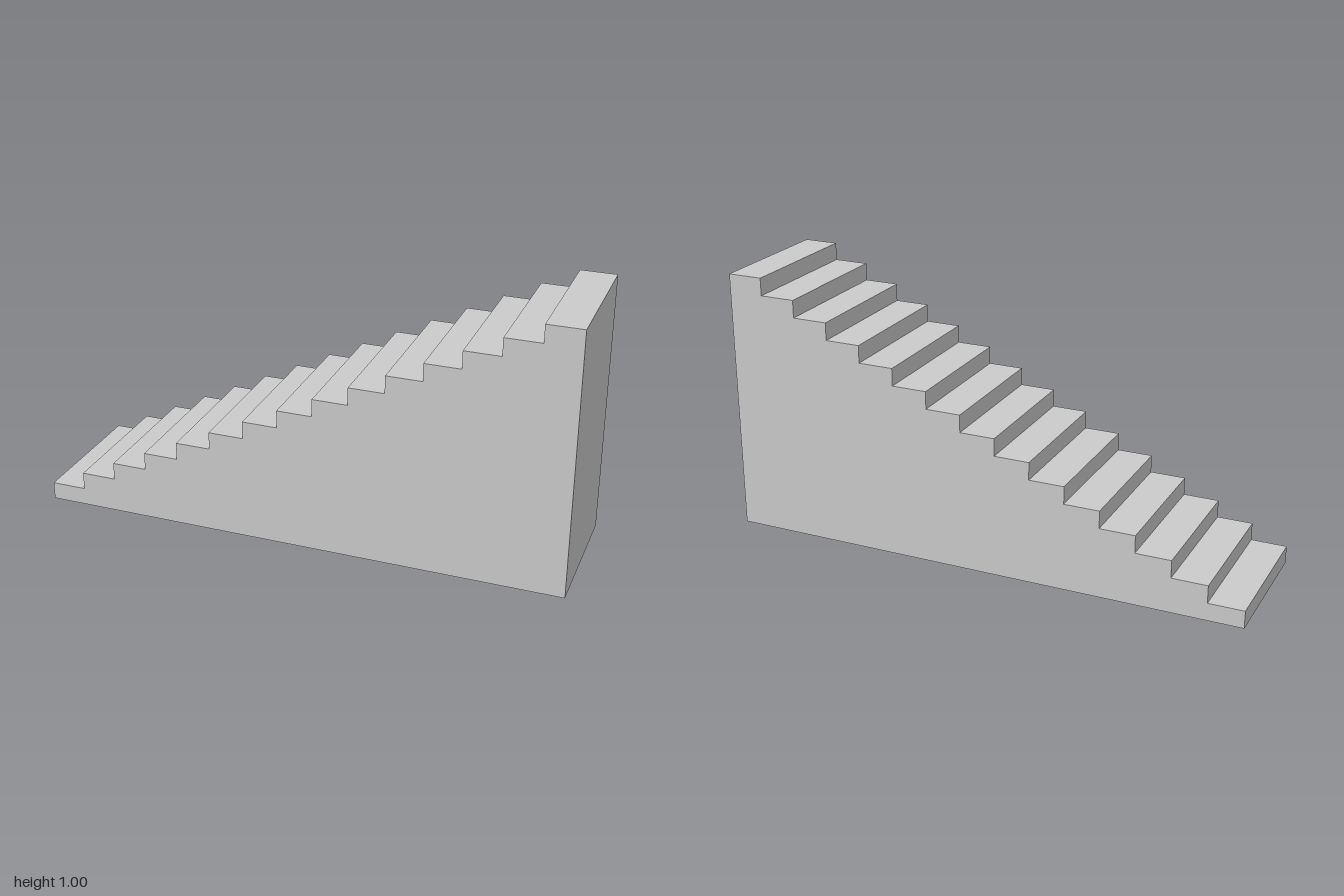
import * as THREE from 'three';

const STEPS = 15;
const LENGTH = 2;
const HEIGHT = 1;
const WIDTH = 0.533;

export function createModel() {
  const group = new THREE.Group();
  group.name = 'staircase';

  const run = LENGTH / STEPS;
  const rise = HEIGHT / STEPS;

  // Stepped side profile, climbing towards +x
  const profile = new THREE.Shape();
  profile.moveTo(-LENGTH / 2, 0);
  profile.lineTo(LENGTH / 2, 0);
  profile.lineTo(LENGTH / 2, HEIGHT);
  for (let i = STEPS - 1; i >= 0; i--) {
    const x = -LENGTH / 2 + i * run;
    profile.lineTo(x, (i + 1) * rise);
    if (i > 0) profile.lineTo(x, i * rise);
  }
  profile.closePath();

  // Solid flight of steps, centred across its width
  const geometry = new THREE.ExtrudeGeometry(profile, { depth: WIDTH, bevelEnabled: false });
  geometry.translate(0, 0, -WIDTH / 2);

  const material = new THREE.MeshStandardMaterial({ color: 0xcccccc, flatShading: true });
  const stairs = new THREE.Mesh(geometry, material);
  stairs.name = 'solidSteps';
  group.add(stairs);

  return group;
}
